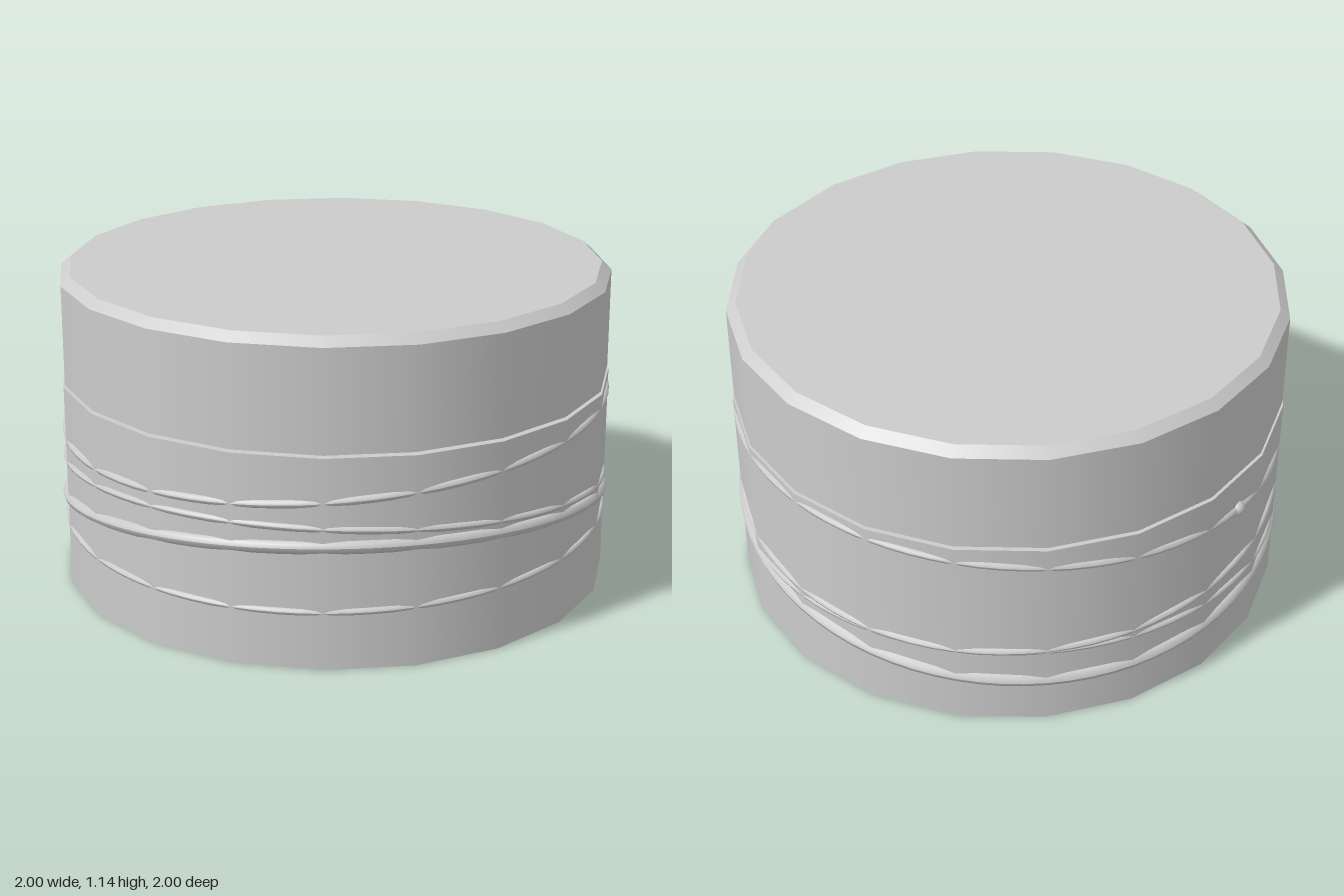
import * as THREE from 'three';

const SIDES = 20;
const material = new THREE.MeshStandardMaterial({ color: 0xcccccc });

function add(group, name, geometry) {
  const mesh = new THREE.Mesh(geometry, material);
  mesh.name = name;
  group.add(mesh);
  return mesh;
}

// Upright drum section between two heights
function drum(topRadius, bottomRadius, y0, y1) {
  return new THREE.CylinderGeometry(topRadius, bottomRadius, y1 - y0, SIDES).translate(0, (y0 + y1) / 2, 0);
}

// Ring around the drum, slanted by a shear in y
function slantedRing({ radius, tube, y, slopeX, slopeZ }) {
  const geometry = new THREE.TorusGeometry(radius, tube, 10, 80).rotateX(Math.PI / 2);
  const p = geometry.attributes.position;
  for (let i = 0; i < p.count; i++) {
    p.setY(i, p.getY(i) + y + slopeX * p.getX(i) + slopeZ * p.getZ(i));
  }
  geometry.computeVertexNormals();
  return geometry;
}

export function createModel() {
  const model = new THREE.Group();
  model.name = 'woundDrum';

  // Body, recessed seam and lid
  add(model, 'body', drum(0.99, 0.99, 0, 0.742));
  add(model, 'seam', drum(0.96, 0.96, 0.74, 0.754));
  add(model, 'lid', drum(0.985, 0.985, 0.752, 1.11));
  add(model, 'lidBevel', drum(0.95, 0.985, 1.11, 1.14));

  // Thin strands half sunk into the body; knot is the angle of the joint, from +x towards +z
  const strands = [
    { name: 'upperStrand', radius: 0.975, tube: 0.015, y: 0.625, slopeX: 0.06, slopeZ: -0.06, knot: 206, knotSize: 0.027 },
    { name: 'middleStrand', radius: 0.978, tube: 0.013, y: 0.4, slopeX: 0, slopeZ: 0.103, knot: 169, knotSize: 0.014 },
    { name: 'thickStrand', radius: 0.974, tube: 0.024, y: 0.3, slopeX: 0.06, slopeZ: 0.122 },
    { name: 'lowerStrand', radius: 0.978, tube: 0.012, y: 0.25, slopeX: 0, slopeZ: -0.05, knot: 162, knotSize: 0.018 },
  ];
  for (const s of strands) {
    add(model, s.name, slantedRing(s));
    if (!s.knot) continue;
    const a = THREE.MathUtils.degToRad(s.knot);
    const x = s.radius * Math.cos(a);
    const z = s.radius * Math.sin(a);
    const knot = add(model, s.name + 'Knot', new THREE.SphereGeometry(s.knotSize, 12, 8));
    knot.position.set(x, s.y + s.slopeX * x + s.slopeZ * z, z);
  }

  return model;
}
